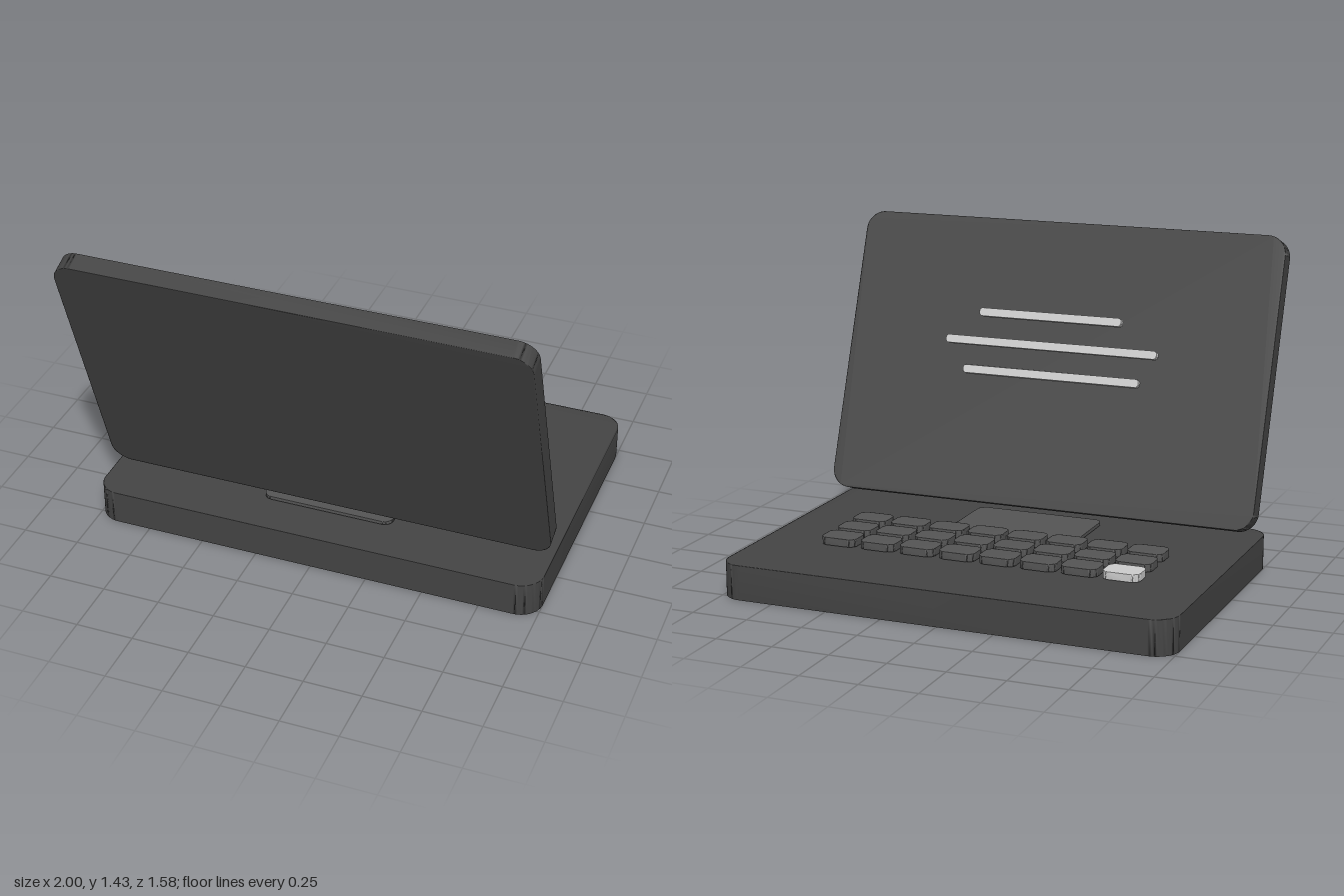
import * as THREE from 'three';
import { mergeVertices } from 'three/addons/utils/BufferGeometryUtils.js';

const dark = new THREE.MeshStandardMaterial({ color: 0x444444 });
const keyGrey = new THREE.MeshStandardMaterial({ color: 0x555555 });
const light = new THREE.MeshStandardMaterial({ color: 0xcccccc });

// Rounded rectangle slab, centred, thickness along z, with shared smooth normals
function slab(w, h, t, r) {
  const x = w / 2, y = h / 2;
  const s = new THREE.Shape();
  s.moveTo(-x + r, -y);
  s.lineTo(x - r, -y);
  s.absarc(x - r, -y + r, r, -Math.PI / 2, 0);
  s.lineTo(x, y - r);
  s.absarc(x - r, y - r, r, 0, Math.PI / 2);
  s.lineTo(-x + r, y);
  s.absarc(-x + r, y - r, r, Math.PI / 2, Math.PI);
  s.lineTo(-x, -y + r);
  s.absarc(-x + r, -y + r, r, Math.PI, Math.PI * 1.5);
  const g = new THREE.ExtrudeGeometry(s, { depth: t, bevelEnabled: false, curveSegments: 8 });
  g.translate(0, 0, -t / 2);
  g.deleteAttribute('normal');
  g.deleteAttribute('uv');
  const merged = mergeVertices(g, 1e-4);
  merged.computeVertexNormals();
  return merged;
}

function part(name, geometry, material, x, y, z, tilt) {
  const mesh = new THREE.Mesh(geometry, material);
  mesh.name = name;
  mesh.position.set(x, y, z);
  mesh.rotation.x = tilt;
  return mesh;
}

export function createModel() {
  const model = new THREE.Group();
  model.name = 'laptop';
  const flat = -Math.PI / 2;
  const lean = THREE.MathUtils.degToRad(20);

  // Base and tilted lid
  model.add(part('base', slab(2, 1.34, 0.15, 0.1), dark, 0, 0.075, -0.12, flat));
  model.add(part('lid', slab(2, 1.287, 0.082, 0.085), dark, 0, 0.81, 0.529, lean));

  // Trackpad
  model.add(part('trackpad', slab(0.585, 0.385, 0.015, 0.04), keyGrey, 0, 0.163, 0.167, flat));

  // Keyboard, with one pale corner key
  const keyboard = new THREE.Group();
  keyboard.name = 'keyboard';
  const keyGeometry = slab(0.162, 0.122, 0.033, 0.035);
  for (let row = 0; row < 3; row++) {
    for (let col = 0; col < 8; col++) {
      const material = row === 0 && col === 0 ? light : keyGrey;
      keyboard.add(part('key', keyGeometry, material,
        (col - 3.5) * 0.183, 0.172, -0.333 + row * 0.15, flat));
    }
  }
  model.add(keyboard);

  // Lines of text floating in front of the screen
  const lines = new THREE.Group();
  lines.name = 'screenLines';
  [0.67, 1, 0.835].forEach((width, i) => {
    lines.add(part('screenLine', slab(width, 0.037, 0.031, 0.015), light,
      0, 1.042 - i * 0.133, 0.464, lean));
  });
  model.add(lines);
  return model;
}
